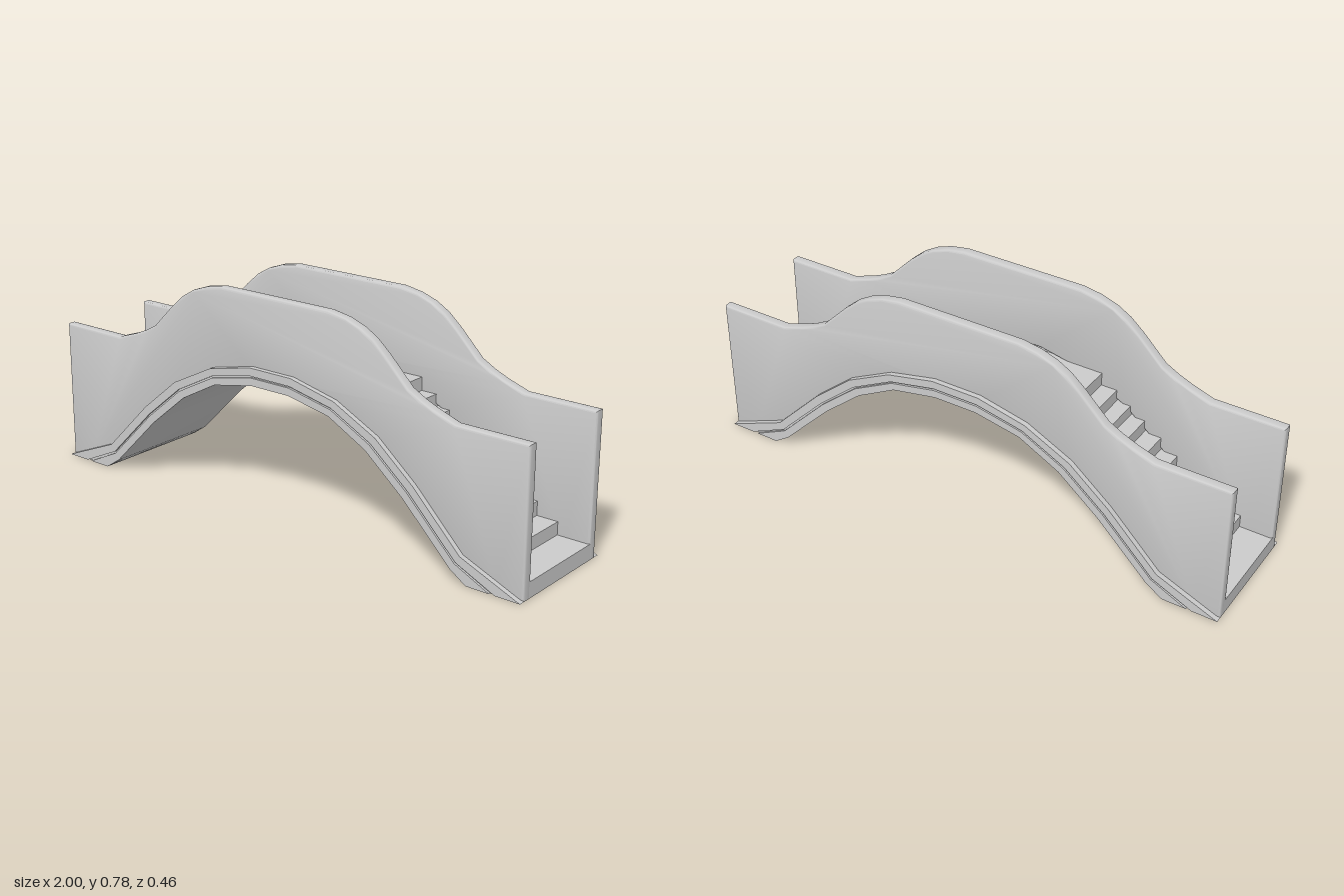
import * as THREE from 'three';
import { toCreasedNormals } from 'three/addons/utils/BufferGeometryUtils.js';

const material = new THREE.MeshStandardMaterial({ color: 0xcccccc });

// Half outlines, listed from the middle of the bridge outwards
const archTop = [[0.09, 0.53], [0.27, 0.49], [0.44, 0.405], [0.59, 0.28], [0.775, 0.093], [1, 0]];
const archBottom = [[0.08, 0.468], [0.25, 0.435], [0.4, 0.355], [0.55, 0.23], [0.74, 0.04], [0.8, 0]];
const wallTop = [[0.23, 0.78], [0.3, 0.768], [0.36, 0.747], [0.41, 0.718], [0.46, 0.675], [0.55, 0.585],
  [0.6, 0.558], [0.65, 0.537], [0.73, 0.51], [1, 0.51]];
const riserX = [0.328, 0.388, 0.443, 0.5, 0.565, 0.63, 0.72, 0.8, 0.88];
const treadY = [0.482, 0.434, 0.389, 0.35, 0.304, 0.253, 0.203, 0.155, 0.104, 0.057];

// Line between the top (t = 0) and the bottom (t = 1) of the arch band
const archLine = (t) => archTop.map(([x, y], i) => [
  THREE.MathUtils.lerp(x, archBottom[i][0], t),
  THREE.MathUtils.lerp(y, archBottom[i][1], t),
]);

// Closed symmetric shape between an upper and a lower half outline
function mirroredShape(upper, lower) {
  const flip = ([x, y]) => [-x, y];
  const points = [
    ...[...lower].reverse().map(flip), ...lower,
    ...[...upper].reverse(), ...upper.map(flip),
  ].map(([x, y]) => new THREE.Vector2(x, y));
  return new THREE.Shape(points.filter((p, i) => i === 0 || p.distanceTo(points[i - 1]) > 1e-5));
}

// Extrudes a shape from z0 to z1, optionally with rounded edges
function slab(name, shape, z0, z1, round = 0) {
  const geometry = new THREE.ExtrudeGeometry(shape, {
    depth: z1 - z0 - 2 * round,
    bevelEnabled: round > 0,
    bevelThickness: round,
    bevelSize: round,
    bevelOffset: -round,
    bevelSegments: 3,
  });
  geometry.translate(0, 0, z0 + round);
  const mesh = new THREE.Mesh(toCreasedNormals(geometry, 0.6), material);
  mesh.name = name;
  return mesh;
}

export function createModel() {
  const bridge = new THREE.Group();
  bridge.name = 'archedFootbridge';

  // Steps and deck above, arched soffit below
  const steps = [];
  treadY.forEach((y, i) => {
    if (i > 0) steps.push([riserX[i - 1], y]);
    steps.push([i < riserX.length ? riserX[i] : 1, y]);
  });
  steps.push([1, 0]);
  bridge.add(slab('stepsAndArch', mirroredShape(steps, archBottom), -0.19, 0.19));

  const wallShape = mirroredShape([...wallTop, [1, 0]], archLine(0.5));
  const baseShape = mirroredShape(archTop, archBottom);
  const upperShape = mirroredShape(archTop, archLine(0.46));
  const lowerShape = mirroredShape(archLine(0.56), archBottom);

  for (const [side, s] of [['front', 1], ['back', -1]]) {
    const add = (name, shape, a, b, round) =>
      bridge.add(slab(side + name, shape, Math.min(s * a, s * b), Math.max(s * a, s * b), round));
    // Parapet wall with a rounded coping
    add('Parapet', wallShape, 0.175, 0.213, 0.008);
    // Moulding along the arch: two raised bands with a groove between
    add('ArchRing', baseShape, 0.19, 0.224);
    add('UpperBand', upperShape, 0.224, 0.232);
    add('LowerBand', lowerShape, 0.224, 0.232);
  }
  return bridge;
}
